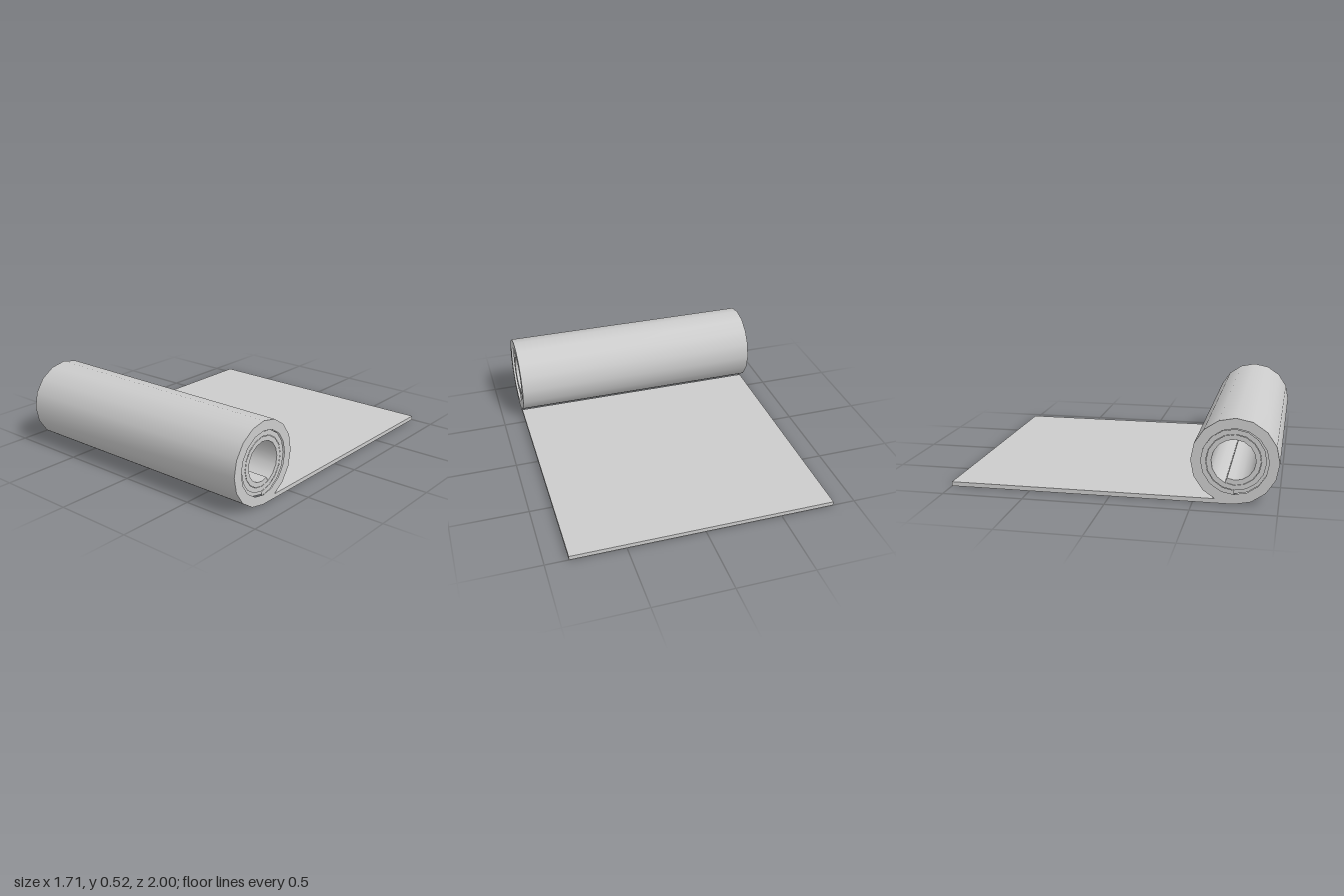
import * as THREE from 'three';

const HALF_W = 0.853;              // half width of the mat
const R = 0.2585;                  // radius of the roll
const CZ = 1 - R, CY = R;          // axis of the roll
const STEP = Math.PI / 8;          // the roll has 16 sides
const grey = new THREE.MeshStandardMaterial({ color: 0xcccccc });
const greyDouble = new THREE.MeshStandardMaterial({ color: 0xcccccc, side: THREE.DoubleSide });

// Point [z, y] at step k around the roll; k = 0 is the bottom, k = 4 the front
const polar = (k, r) => [CZ + r * Math.sin(k * STEP), CY - r * Math.cos(k * STEP)];
const arc = (from, to, radius) => Array.from({ length: to - from + 1 },
  (_, i) => polar(from + i, radius));

// Mesh of quads between two matching rows of points, for open surfaces
function loft(name, rowA, rowB) {
  const index = [];
  for (let i = 0; i < rowA.length - 1; i++) {
    const a = i * 2;
    index.push(a, a + 1, a + 3, a, a + 3, a + 2);
  }
  const points = rowA.flatMap((p, i) => [...p, ...rowB[i]]);
  const geometry = new THREE.BufferGeometry();
  geometry.setAttribute('position', new THREE.Float32BufferAttribute(points, 3));
  geometry.setIndex(index);
  geometry.computeVertexNormals();
  const mesh = new THREE.Mesh(geometry, greyDouble);
  mesh.name = name;
  return mesh;
}

// Skin across the full width along a profile of [z, y] points
const skin = (name, profile, w = HALF_W) => loft(name,
  profile.map(([z, y]) => [-w, y, z]), profile.map(([z, y]) => [w, y, z]));

// Flat end faces on both sides between an outer and an inner profile
const ends = (name, outer, inner, w = HALF_W) => [1, -1].map((s) => {
  const at = (profile) => profile.map(([z, y]) => [s * w, y, z]);
  return s > 0 ? loft(name, at(inner), at(outer)) : loft(name, at(outer), at(inner));
});

export function createModel() {
  const model = new THREE.Group();
  model.name = 'rolledMat';

  // Flat part of the mat
  const sheet = new THREE.Mesh(new THREE.BoxGeometry(HALF_W * 2, 0.027, 1.62), grey);
  sheet.name = 'flatSheet';
  sheet.position.set(0, 0.0135, -0.19);
  model.add(sheet);

  // Side faces joining the sheet to the roll, open underneath
  model.add(...ends('sheetJoint', [[0.62, 0], [CZ, 0]], [[0.62, 0.027], [CZ, 0.03]]));

  // Outer turn of the roll, hollow behind its surface
  const roll = new THREE.Group();
  roll.name = 'outerRoll';
  roll.add(
    skin('rollSurface', arc(0, 15, R)),
    ...ends('rollEnd', arc(0, 16, R), arc(0, 16, 0.198)),
    ...ends('rollEndFill', arc(0, 16, 0.2), arc(0, 16, 0.15), HALF_W - 0.018),
  );
  model.add(roll);

  // Inner turns, winding inward to a loose tail
  const back = [], face = [];
  for (let k = 0; k <= 33; k++) {
    const r = 0.178 - 0.066 * k / 33;
    back.push(polar(-k, r + 0.03));
    face.push(polar(-k, r));
  }
  const w = HALF_W - 0.01;
  const spiral = new THREE.Group();
  spiral.name = 'innerSpiral';
  spiral.add(
    skin('innerSurface', face.slice(14), w),
    skin('tailBack', back.slice(29).reverse(), w),
    skin('tailEdge', [face[33], back[33]], w),
    ...ends('spiralEnd', back, face, w),
  );
  model.add(spiral);
  return model;
}
